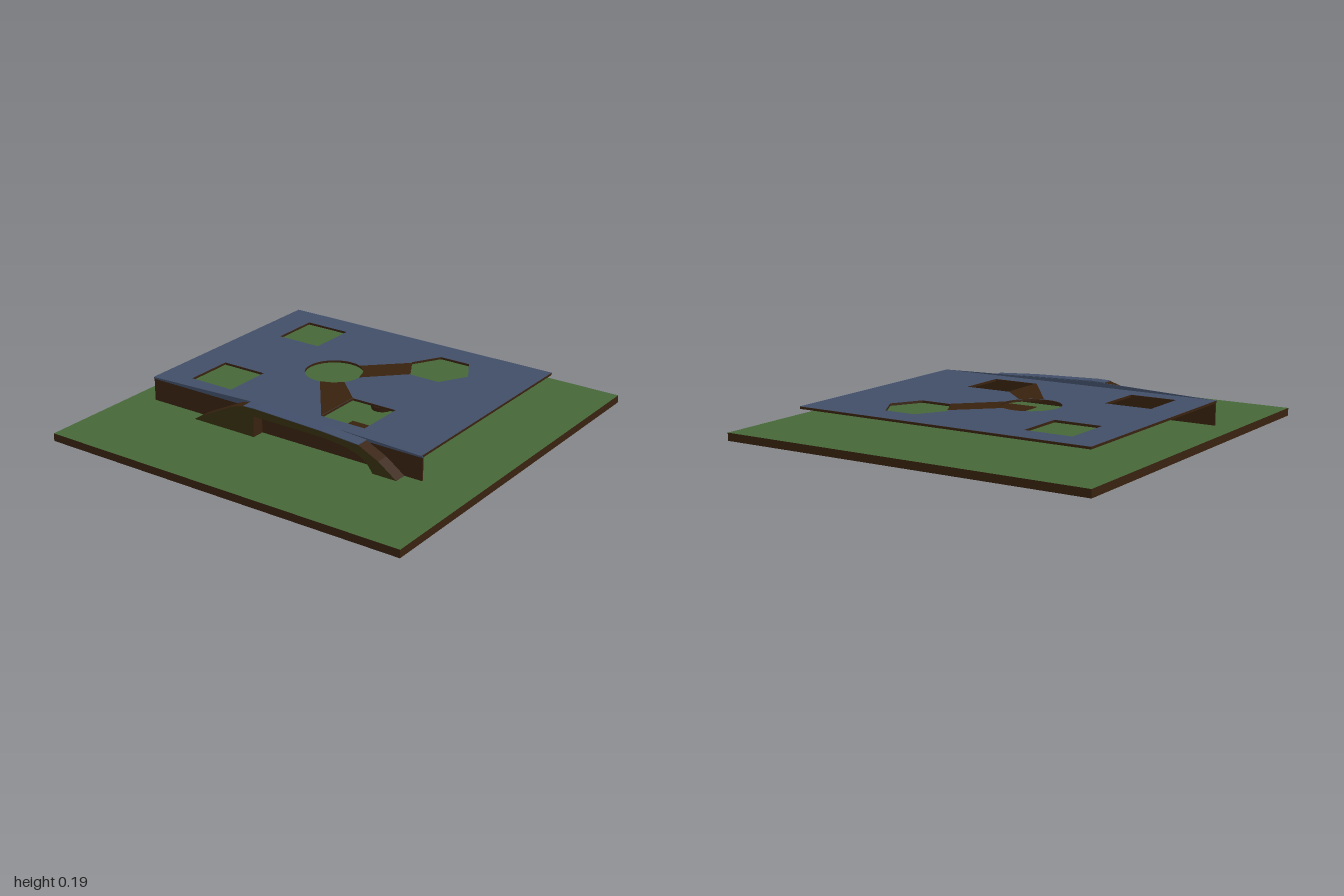
import * as THREE from 'three';

const mat = (name, color) => Object.assign(new THREE.MeshStandardMaterial({ color }), { name });

// Shape from [x, z] plan points (z is flipped so it can be laid flat)
const planPoints = (pts) => pts.map(([x, z]) => new THREE.Vector2(x, -z));
const rect = (x0, x1, z0, z1) => planPoints([[x0, z1], [x1, z1], [x1, z0], [x0, z0]]);
const regular = (cx, cz, r, n) => {
  const pts = [];
  for (let i = 0; i < n; i++) {
    const a = (i / n) * Math.PI * 2;
    pts.push([cx + r * Math.cos(a), cz + r * Math.sin(a)]);
  }
  return planPoints(pts);
};

export function createModel() {
  const group = new THREE.Group();
  const grass = mat('grass green', 0x466839);
  const blue = mat('slate blue', 0x414e68);
  const brown = mat('dark brown', 0x38220f);
  const olive = mat('dark olive', 0x363010);

  const add = (name, geometry, material, x = 0, y = 0, z = 0) => {
    const mesh = new THREE.Mesh(geometry, material);
    mesh.name = name;
    mesh.position.set(x, y, z);
    group.add(mesh);
    return mesh;
  };
  const flat = (shape) => new THREE.ShapeGeometry(shape).rotateX(-Math.PI / 2);

  // Ground slab with a grass top
  add('ground', new THREE.BoxGeometry(2, 0.04, 2),
    [brown, brown, grass, brown, brown, brown], 0, 0.02, 0);

  // Roof sheet with cut-out rooms
  const roof = new THREE.Shape(rect(-0.88, 0.72, -0.8, 0.405));
  roof.holes = [
    rect(-0.71, -0.46, -0.67, -0.41),
    rect(-0.71, -0.46, 0.05, 0.31),
    rect(0.09, 0.34, 0.05, 0.31),
    regular(-0.185, -0.177, 0.15, 32),
    regular(0.235, -0.51, 0.168, 6),
  ].map((pts) => new THREE.Path(pts));
  const slab = new THREE.ExtrudeGeometry(roof, { depth: 0.011, bevelEnabled: false });
  add('roofSlab', slab.rotateX(-Math.PI / 2), brown, 0, 0.152, 0);
  add('roofTop', flat(roof), blue, 0, 0.164, 0);

  // Passages joining the rooms
  const passages = [
    [[-0.12, -0.312], [-0.06, -0.257], [-0.035, -0.18], [0.15, -0.365], [0.075, -0.5]],
    [[-0.165, -0.027], [0.09, 0.31], [0.09, 0.05], [-0.06, -0.09], [-0.105, -0.05]],
  ];
  for (const pts of passages) {
    const mesh = add('passage', flat(new THREE.Shape(planPoints(pts))), brown, 0, 0.1655, 0);
    mesh.material = brown;
  }

  // Floor of the square room
  add('roomFloor', new THREE.BoxGeometry(0.25, 0.004, 0.26), brown, 0.215, 0.042, 0.18);

  // Front wall with a low gable strip
  add('frontWall', new THREE.BoxGeometry(1.6, 0.115, 0.008), brown, -0.075, 0.0975, 0.404);
  const gable = new THREE.Shape([[-0.88, 0.155], [0.725, 0.155], [0.725, 0.163], [0.2, 0.177],
    [-0.18, 0.188], [-0.25, 0.186], [-0.88, 0.163]].map((p) => new THREE.Vector2(...p)));
  add('gable', new THREE.ExtrudeGeometry(gable, { depth: 0.004, bevelEnabled: false }),
    blue, 0, 0, 0.404);

  // Arched porch with a wide opening
  const porch = new THREE.Shape([[-0.56, 0.04], [-0.19, 0.04], [-0.19, 0.148], [0.22, 0.146],
    [0.34, 0.135], [0.42, 0.112], [0.47, 0.08], [0.5, 0.04], [0.63, 0.04], [0.53, 0.11],
    [0.42, 0.162], [0.2, 0.176], [-0.18, 0.188], [-0.25, 0.186], [-0.32, 0.165],
    [-0.52, 0.065]].map((p) => new THREE.Vector2(...p)));
  add('porch', new THREE.ExtrudeGeometry(porch, { depth: 0.067, bevelEnabled: false }),
    [olive, brown], 0, 0, 0.408);

  // Blue covering along the top of the porch
  const cover = new THREE.Shape([[-0.25, 0.186], [-0.18, 0.188], [0.2, 0.176], [0.42, 0.162],
    [0.42, 0.165], [0.2, 0.179], [-0.18, 0.191], [-0.25, 0.189]].map((p) => new THREE.Vector2(...p)));
  add('porchCover', new THREE.ExtrudeGeometry(cover, { depth: 0.068, bevelEnabled: false }),
    blue, 0, 0, 0.408);

  // Small peg set through the ground under the roof
  add('peg', new THREE.CylinderGeometry(0.06, 0.045, 0.066, 20), brown, 0.115, 0.032, -0.17);

  return group;
}
